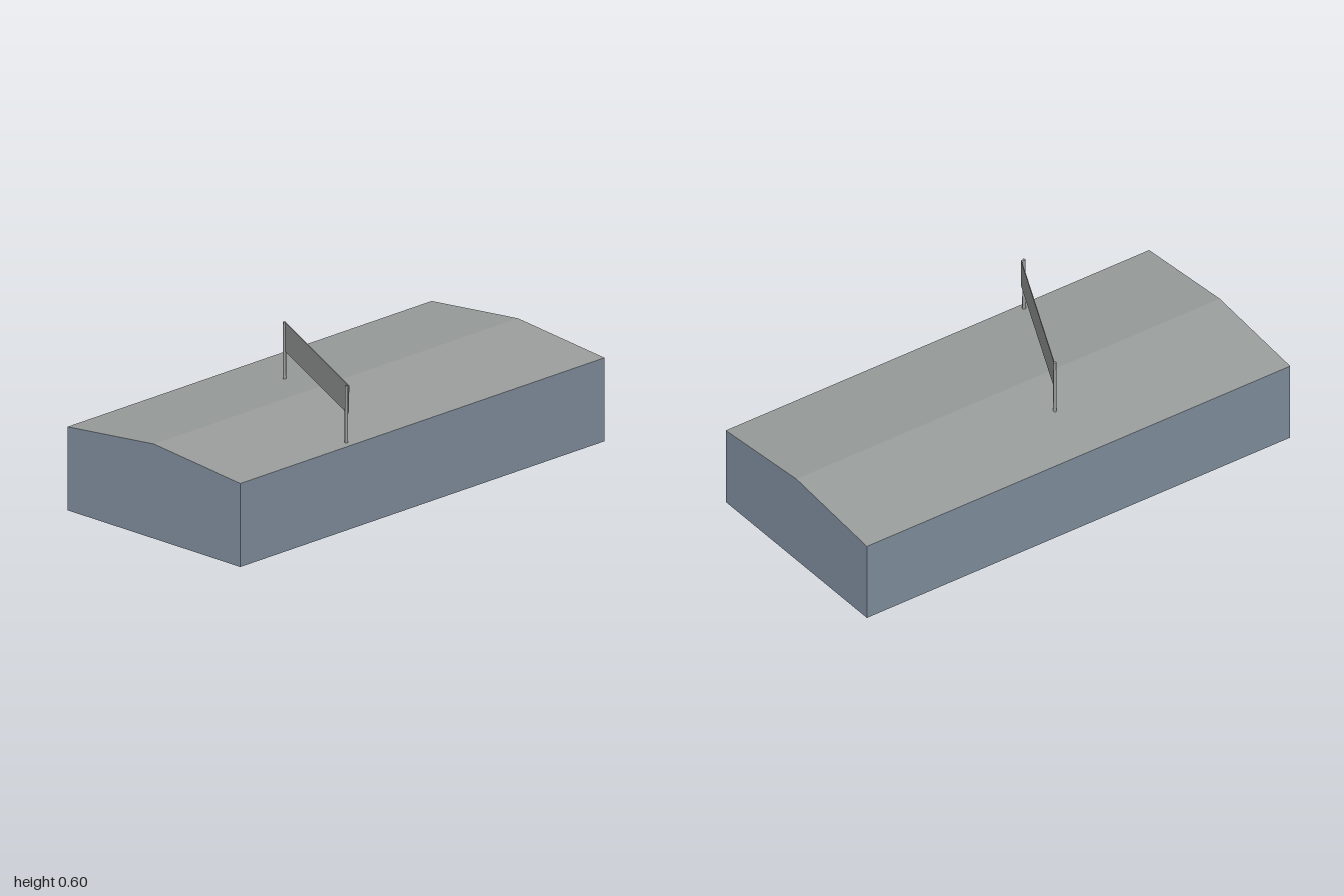
import * as THREE from 'three';

const D = 0.463, EAVE = 0.34, RIDGE = 0.385;

function mat(name, color) {
  const m = new THREE.MeshStandardMaterial({ color, side: THREE.DoubleSide });
  m.name = name;
  return m;
}

// flat four-sided face from corners in counter-clockwise order
function quad(a, b, c, d) {
  const g = new THREE.BufferGeometry();
  g.setAttribute('position', new THREE.Float32BufferAttribute([a, b, c, a, c, d].flat(), 3));
  g.computeVertexNormals();
  return g;
}

export function createModel() {
  const group = new THREE.Group();
  const wall = mat('blue grey wall', 0x8290a0);
  const grey = mat('light grey', 0x9a9e9c);
  const add = (name, geometry, material) => {
    const m = new THREE.Mesh(geometry, material);
    m.name = name;
    group.add(m);
    return m;
  };

  // gable ends, open below
  const gable = new THREE.Shape([[-D, 0], [D, 0], [D, EAVE], [0, RIDGE], [-D, EAVE]]
    .map(([x, y]) => new THREE.Vector2(x, y)));
  for (const s of [1, -1]) {
    const end = add(s > 0 ? 'leftGable' : 'rightGable', new THREE.ShapeGeometry(gable), wall);
    end.rotation.y = s * Math.PI / 2;
    end.position.x = s;

    // long wall and roof slope on each side
    add(s > 0 ? 'frontWall' : 'backWall',
      quad([-s, 0, s * D], [s, 0, s * D], [s, EAVE, s * D], [-s, EAVE, s * D]), wall);
    add(s > 0 ? 'frontRoof' : 'backRoof',
      quad([-s, EAVE, s * D], [s, EAVE, s * D], [s, RIDGE, 0], [-s, RIDGE, 0]), grey);
  }

  // slim posts standing on the roof
  const post = (name, x, z, y0, y1) => {
    const p = add(name, new THREE.CylinderGeometry(0.006, 0.007, y1 - y0, 8), grey);
    p.position.set(x, (y0 + y1) / 2, z);
  };
  post('frontPost', -0.388, 0.434, 0.338, 0.575);
  post('backPost', -0.078, -0.199, 0.36, 0.597);

  // thin sloping board between the posts
  const board = new THREE.BoxGeometry(0.704, 0.118, 0.003);
  const p = board.attributes.position;
  for (let i = 0; i < p.count; i++) {
    const x = p.getX(i), y = p.getY(i);
    // shear upward toward the back, with a slightly slanted front end
    p.setY(i, y + x * 0.034);
    if (x < 0) p.setX(i, x - (y > 0 ? 0.005 : -0.003));
  }
  board.computeVertexNormals();
  const b = add('board', board, grey);
  b.rotation.y = Math.atan2(0.636, 0.302);
  b.position.set(-0.225, 0.526, 0.116);

  return group;
}
